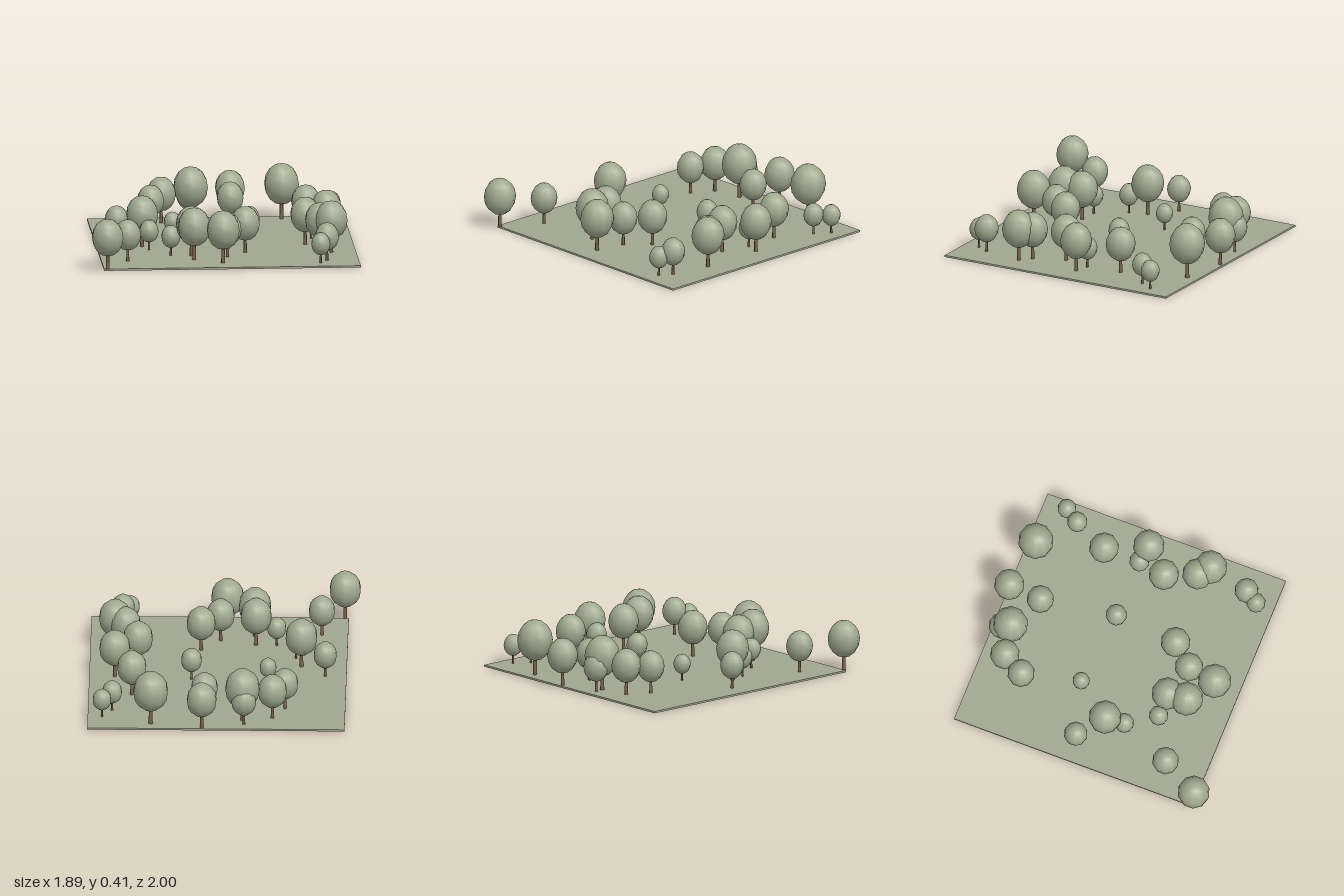
import * as THREE from 'three';

const GROUND_Y = 0.013;

// Each tree: x, z, crown radius (the whole tree scales with it)
const TREES = [
  [0.145, -0.895, 0.108], [-0.15, -0.84, 0.09], [-0.14, -0.775, 0.125],
  [-0.35, -0.735, 0.105], [-0.435, -0.58, 0.097], [0.13, -0.655, 0.097],
  [0.505, -0.835, 0.126], [0.85, -0.735, 0.067], [0.78, -0.63, 0.072],
  [0.645, -0.375, 0.106], [-0.31, -0.175, 0.061], [0.23, -0.12, 0.075],
  [-0.71, -0.06, 0.084], [-0.54, 0.095, 0.116], [-0.5, 0.225, 0.069],
  [0.665, -0.115, 0.072], [0.77, -0.085, 0.112], [0.61, 0.09, 0.108],
  [0.7, 0.31, 0.109], [0.775, 0.38, 0.117], [0.17, 0.35, 0.105],
  [-0.36, 0.43, 0.069], [-0.215, 0.44, 0.113], [0.035, 0.505, 0.101],
  [-0.205, 0.58, 0.118], [-0.675, 0.605, 0.095], [-0.01, 0.715, 0.119],
  [0.725, 0.67, 0.086], [0.675, 0.76, 0.069], [-0.835, 0.88, 0.114],
];

function material(name, color) {
  const m = new THREE.MeshStandardMaterial({ color });
  m.name = name;
  return m;
}

export function createModel() {
  const model = new THREE.Group();
  model.name = 'grove';
  const grass = material('grass', 0x9fa68d);
  const leaf = material('leaf', 0xa0a98e);
  const bark = material('bark', 0x7a6348);

  // Thin ground slab
  const ground = new THREE.Mesh(new THREE.BoxGeometry(1.81, GROUND_Y, 1.8), grass);
  ground.name = 'ground';
  ground.position.set(0.045, GROUND_Y / 2, -0.02);
  model.add(ground);

  // Unit tree: tapered trunk and egg-shaped crown, crown radius 1
  const trunkGeometry = new THREE.CylinderGeometry(0.09, 0.12, 1.3, 7);
  trunkGeometry.translate(0, 0.65, 0);
  const crownGeometry = new THREE.SphereGeometry(1, 10, 8);
  crownGeometry.rotateY(Math.PI / 10);
  crownGeometry.scale(1, 1.17, 1);
  crownGeometry.translate(0, 1.98, 0);

  TREES.forEach(([x, z, r], i) => {
    const tree = new THREE.Group();
    tree.name = `tree${i + 1}`;
    const trunk = new THREE.Mesh(trunkGeometry, bark);
    trunk.name = 'trunk';
    const crown = new THREE.Mesh(crownGeometry, leaf);
    crown.name = 'crown';
    tree.add(trunk, crown);
    tree.position.set(x, GROUND_Y, z);
    tree.scale.setScalar(r);
    model.add(tree);
  });

  return model;
}
